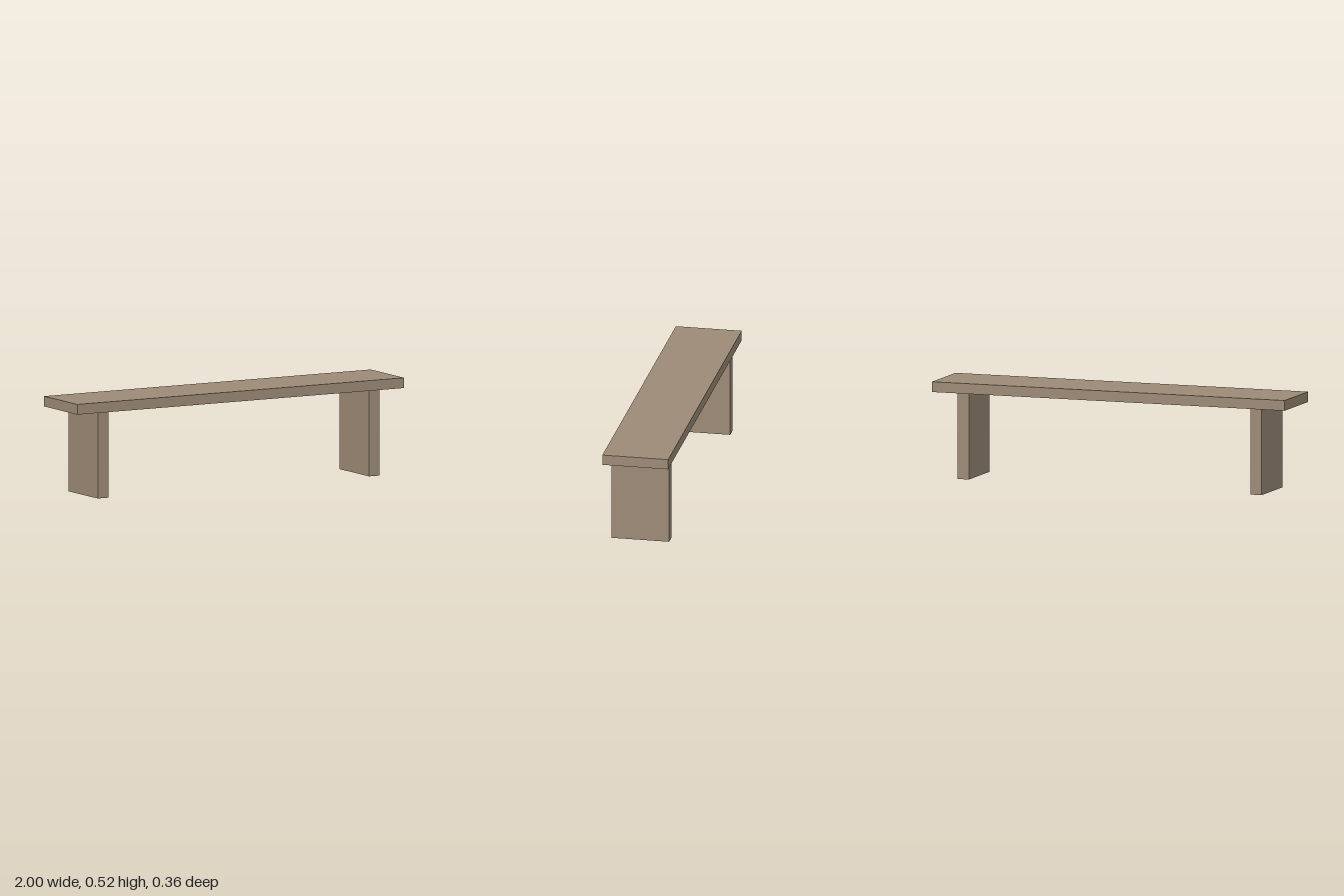
import * as THREE from 'three';

export function createModel() {
  const bench = new THREE.Group();
  bench.name = 'bench';

  const wood = new THREE.MeshStandardMaterial({ color: 0x9c8a76 });
  wood.name = 'weathered wood';

  const height = 0.517, seatThickness = 0.055;
  const legHeight = height - seatThickness;

  const addBoard = (name, w, h, d, x, y) => {
    const board = new THREE.Mesh(new THREE.BoxGeometry(w, h, d), wood);
    board.name = name;
    board.position.set(x, y, 0);
    bench.add(board);
  };

  // Seat plank
  addBoard('seat', 2, seatThickness, 0.356, 0, height - seatThickness / 2);

  // Slab legs, mirrored left and right
  for (const [name, side] of [['leftLeg', 1], ['rightLeg', -1]]) {
    addBoard(name, 0.064, legHeight, 0.312, side * 0.83, legHeight / 2);
  }

  return bench;
}
